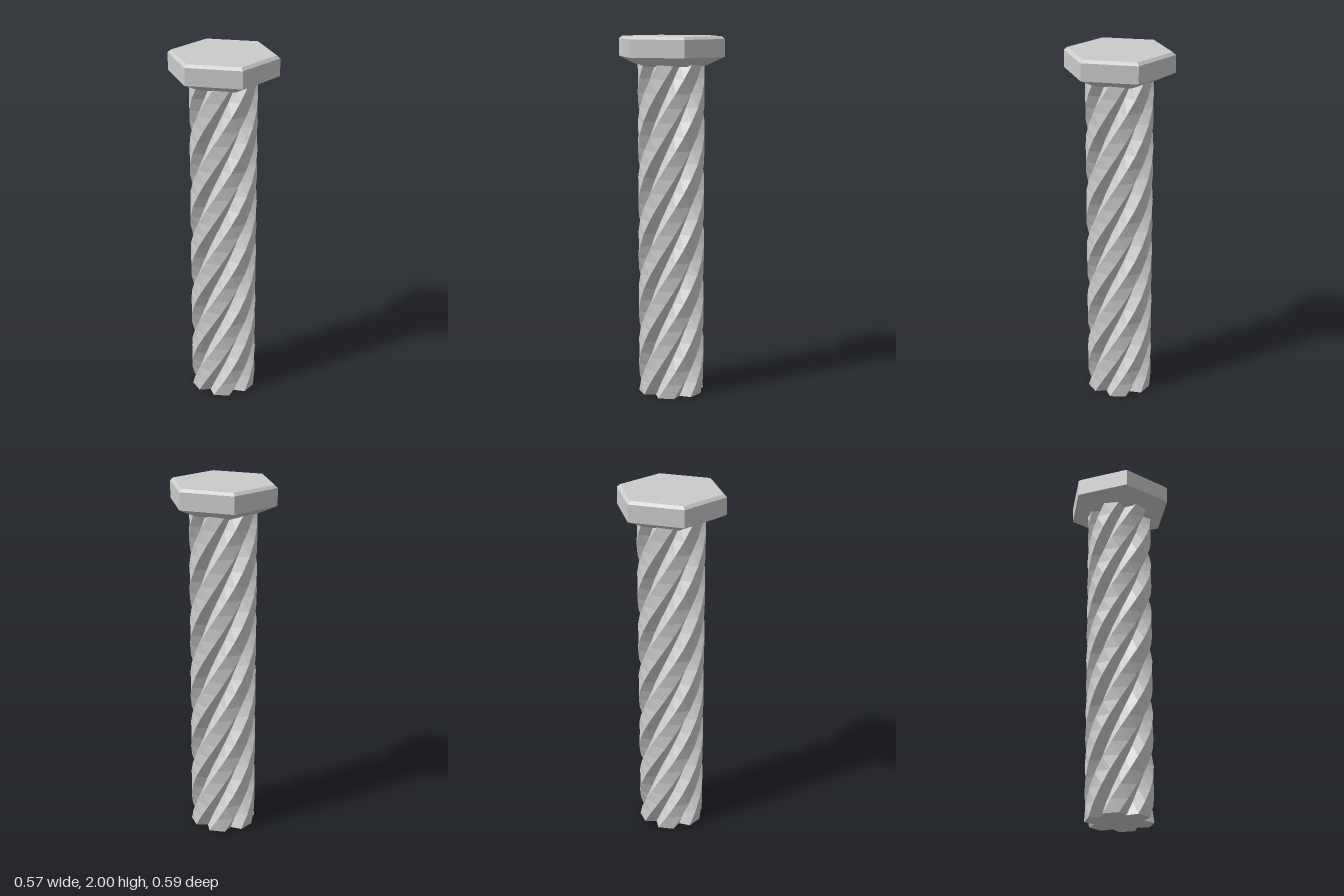
import * as THREE from 'three';

const material = new THREE.MeshStandardMaterial({ color: 0xcccccc, flatShading: true });
const rad = THREE.MathUtils.degToRad;

const SHAFT_HEIGHT = 1.85;
const TEETH = 6;

// Fluted shaft: a star section with flat ridges and V grooves, twisted one full turn
function createShaft() {
  const points = [];
  const add = (deg, r) => points.push(new THREE.Vector2(r * Math.sin(rad(deg)), -r * Math.cos(rad(deg))));
  for (let i = 0; i < TEETH; i++) {
    const a = i * 360 / TEETH;
    add(a - 26, 0.184);
    add(a + 2, 0.184);
    add(a + 18, 0.135);
  }
  const geometry = new THREE.ExtrudeGeometry(new THREE.Shape(points), {
    depth: SHAFT_HEIGHT, steps: 24, bevelEnabled: false,
  });
  geometry.rotateX(-Math.PI / 2);

  // Twist around the vertical axis
  const pos = geometry.attributes.position;
  const v = new THREE.Vector3();
  const up = new THREE.Vector3(0, 1, 0);
  for (let i = 0; i < pos.count; i++) {
    v.fromBufferAttribute(pos, i);
    v.applyAxisAngle(up, v.y / SHAFT_HEIGHT * Math.PI * 2);
    pos.setXYZ(i, v.x, v.y, v.z);
  }
  geometry.computeVertexNormals();
  const shaft = new THREE.Mesh(geometry, material);
  shaft.name = 'twistedShaft';
  return shaft;
}

// Hexagonal head with a sloped underside and a small top chamfer
function createHead() {
  const profile = [[0, 1.84], [0.19, 1.84], [0.3, 1.89], [0.3, 1.985], [0.282, 2], [0, 2]]
    .map(([r, y]) => new THREE.Vector2(r, y));
  const head = new THREE.Mesh(new THREE.LatheGeometry(profile, 6, rad(10.5)), material);
  head.name = 'hexHead';
  return head;
}

export function createModel() {
  const model = new THREE.Group();
  model.name = 'bolt';
  model.add(createShaft(), createHead());
  return model;
}
